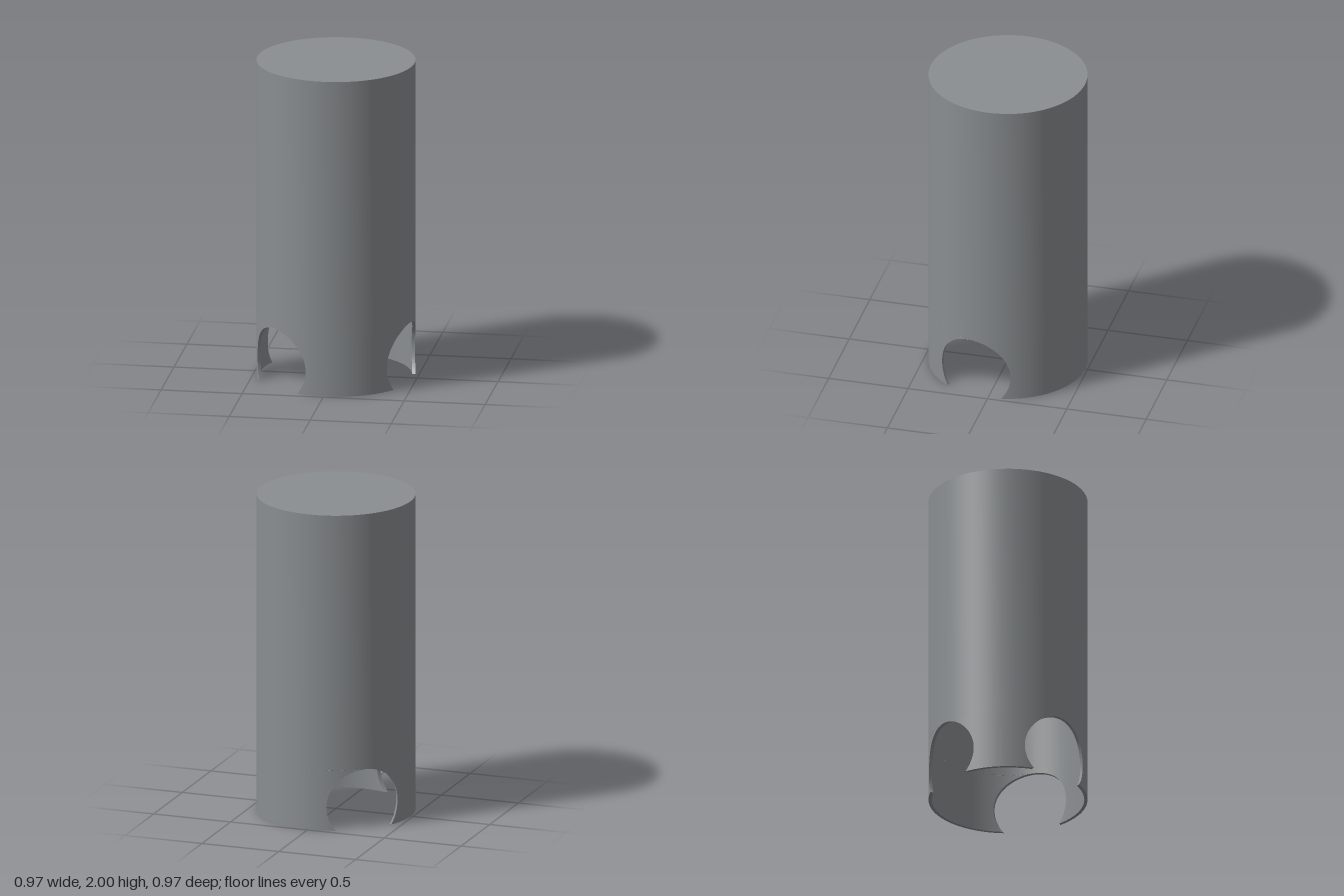
import * as THREE from 'three';
import { toCreasedNormals } from 'three/addons/utils/BufferGeometryUtils.js';

const R = 0.485, RI = 0.465, HEIGHT = 2, WALL = 0.02;
const HOLE_R = 0.234, HOLE_Y = 0.147, HOLE_TOP = HOLE_Y + HOLE_R;
const HOLES = [12.5, 132.3, 227.7].map(THREE.MathUtils.degToRad); // measured from +x towards +z

// Curved wall piece between two round holes, lofted upward row by row
function pierGeometry(from, to) {
  const rows = 32, cols = 40, ring = 2 * (cols + 1);
  const pos = [], idx = [];
  const t0 = -Math.asin(HOLE_Y / HOLE_R);
  for (let i = 0; i <= rows; i++) {
    const t = t0 + (Math.PI / 2 - t0) * i / rows;
    const y = Math.max(0, HOLE_Y + HOLE_R * Math.sin(t));
    const half = HOLE_R * Math.cos(t);
    const arc = (radius, reverse) => {
      const gap = Math.asin(half / radius);
      for (let j = 0; j <= cols; j++) {
        const f = (reverse ? cols - j : j) / cols;
        const a = from + gap + (to - from - 2 * gap) * f;
        pos.push(radius * Math.cos(a), y, radius * Math.sin(a));
      }
    };
    arc(R, false);
    arc(RI, true);
  }
  // Outer face, inner face and both hole edges
  for (let i = 0; i < rows; i++) {
    for (let j = 0; j < ring; j++) {
      const a = i * ring + j, b = i * ring + (j + 1) % ring;
      idx.push(a, a + ring, b, b, a + ring, b + ring);
    }
  }
  // Bottom rim
  for (let j = 0; j < cols; j++) {
    const inner = ring - 1 - j;
    idx.push(j, j + 1, inner, j + 1, inner - 1, inner);
  }
  const g = new THREE.BufferGeometry();
  g.setAttribute('position', new THREE.Float32BufferAttribute(pos, 3));
  g.setIndex(idx);
  return toCreasedNormals(g, 0.5);
}

function lathe(points) {
  const profile = points.map(([r, y]) => new THREE.Vector2(r, y));
  return toCreasedNormals(new THREE.LatheGeometry(profile, 128), 0.5);
}

export function createModel() {
  const group = new THREE.Group();
  group.name = 'notchedTube';
  const grey = new THREE.MeshStandardMaterial({ color: 0x8a8e90 });
  grey.name = 'grey';

  const add = (geometry, name) => {
    const mesh = new THREE.Mesh(geometry, grey);
    mesh.name = name;
    group.add(mesh);
  };

  // Closed top and outer wall above the holes
  add(lathe([[R, HOLE_TOP], [R, HEIGHT], [0, HEIGHT]]), 'outerShell');
  // Hollow inside
  add(lathe([[0, HEIGHT - WALL], [RI, HEIGHT - WALL], [RI, HOLE_TOP]]), 'innerShell');

  // Wall pieces standing between the holes
  HOLES.forEach((angle, i) => {
    const next = i < HOLES.length - 1 ? HOLES[i + 1] : HOLES[0] + 2 * Math.PI;
    add(pierGeometry(angle, next), 'wallBetweenHoles' + (i + 1));
  });
  return group;
}
